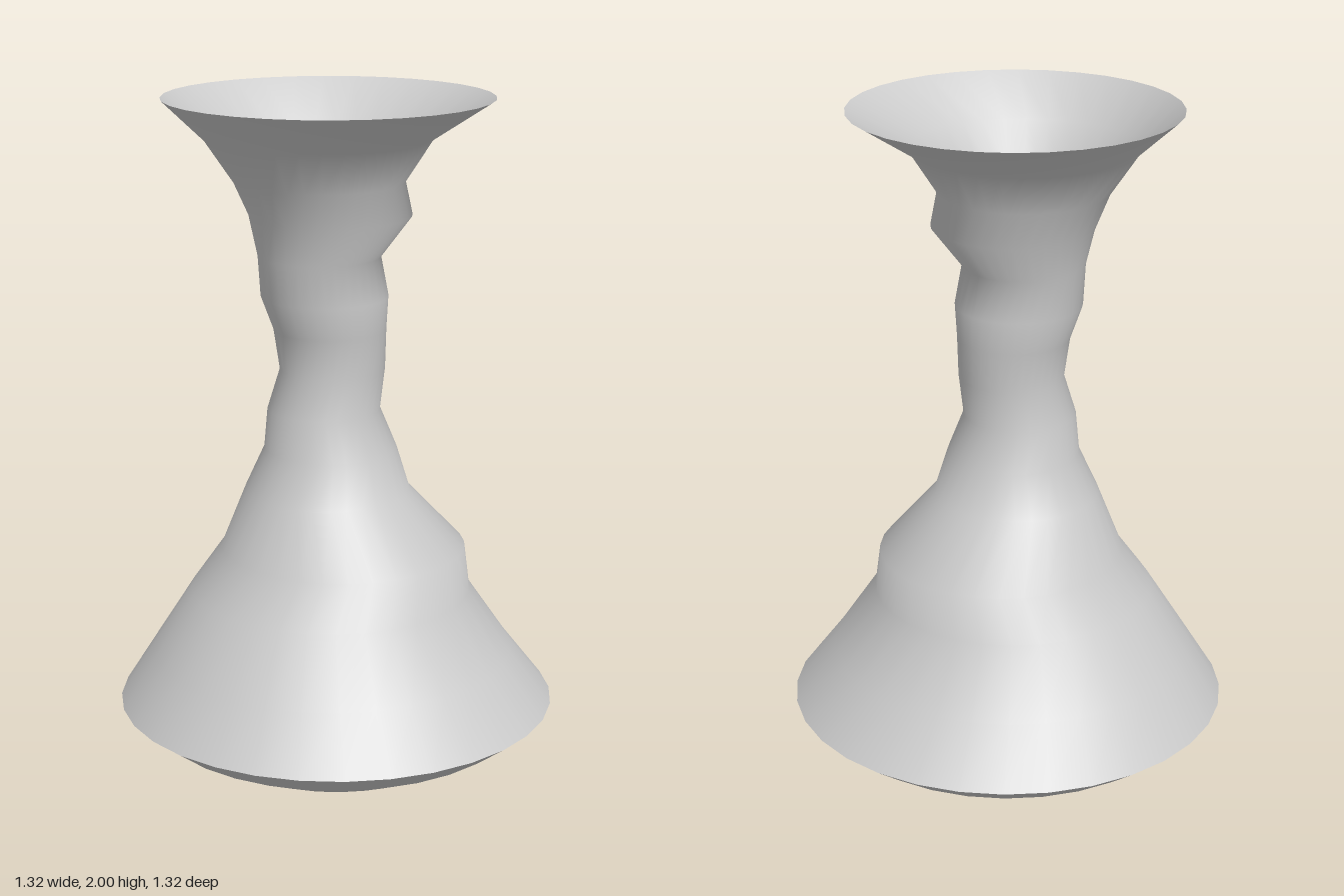
import * as THREE from 'three';

const SIDES = 32;

// Stack of horizontal circles [y, left x, right x], skinned into an open tube
function skin(rings) {
  const pos = [], index = [];
  rings.forEach(([y, left, right], i) => {
    const cx = (left + right) / 2, r = (right - left) / 2;
    for (let j = 0; j < SIDES; j++) {
      const a = (j / SIDES) * Math.PI * 2;
      pos.push(cx + r * Math.cos(a), y, r * Math.sin(a));
      if (i === 0) continue;
      const k = (j + 1) % SIDES, lo = (i - 1) * SIDES, hi = i * SIDES;
      index.push(lo + j, hi + j, lo + k, lo + k, hi + j, hi + k);
    }
  });
  const g = new THREE.BufferGeometry();
  g.setAttribute('position', new THREE.Float32BufferAttribute(pos, 3));
  g.setIndex(index);
  g.computeVertexNormals();
  return g;
}

export function createModel() {
  const group = new THREE.Group();
  const add = (name, geometry, flatShading) => {
    const mesh = new THREE.Mesh(geometry, new THREE.MeshStandardMaterial({
      color: 0xcccccc, side: THREE.DoubleSide, flatShading }));
    mesh.name = name;
    group.add(mesh);
  };

  // Flared stem whose circles wander sideways, open at the top
  add('body', skin([
    [0.17, -0.66, 0.66],
    [0.33, -0.56, 0.535],
    [0.52, -0.44, 0.405],
    [0.65, -0.345, 0.39],
    [0.83, -0.275, 0.22],
    [0.96, -0.215, 0.18],
    [1.08, -0.205, 0.13],
    [1.20, -0.167, 0.145],
    [1.32, -0.185, 0.148],
    [1.42, -0.222, 0.153],
    [1.54, -0.23, 0.13],
    [1.66, -0.255, 0.222],
    [1.76, -0.3, 0.2],
    [1.885, -0.385, 0.28],
    [2.0, -0.505, 0.46],
  ]), false);

  // Faceted underside and the socket wall inside it
  const ring = (y, r) => [y, -r, r];
  add('foot', skin([ring(0, 0.37), ring(0.095, 0.56), ring(0.17, 0.66)]), true);
  add('footSocket', skin([ring(0.36, 0.4), ring(0, 0.37)]), true);

  return group;
}
